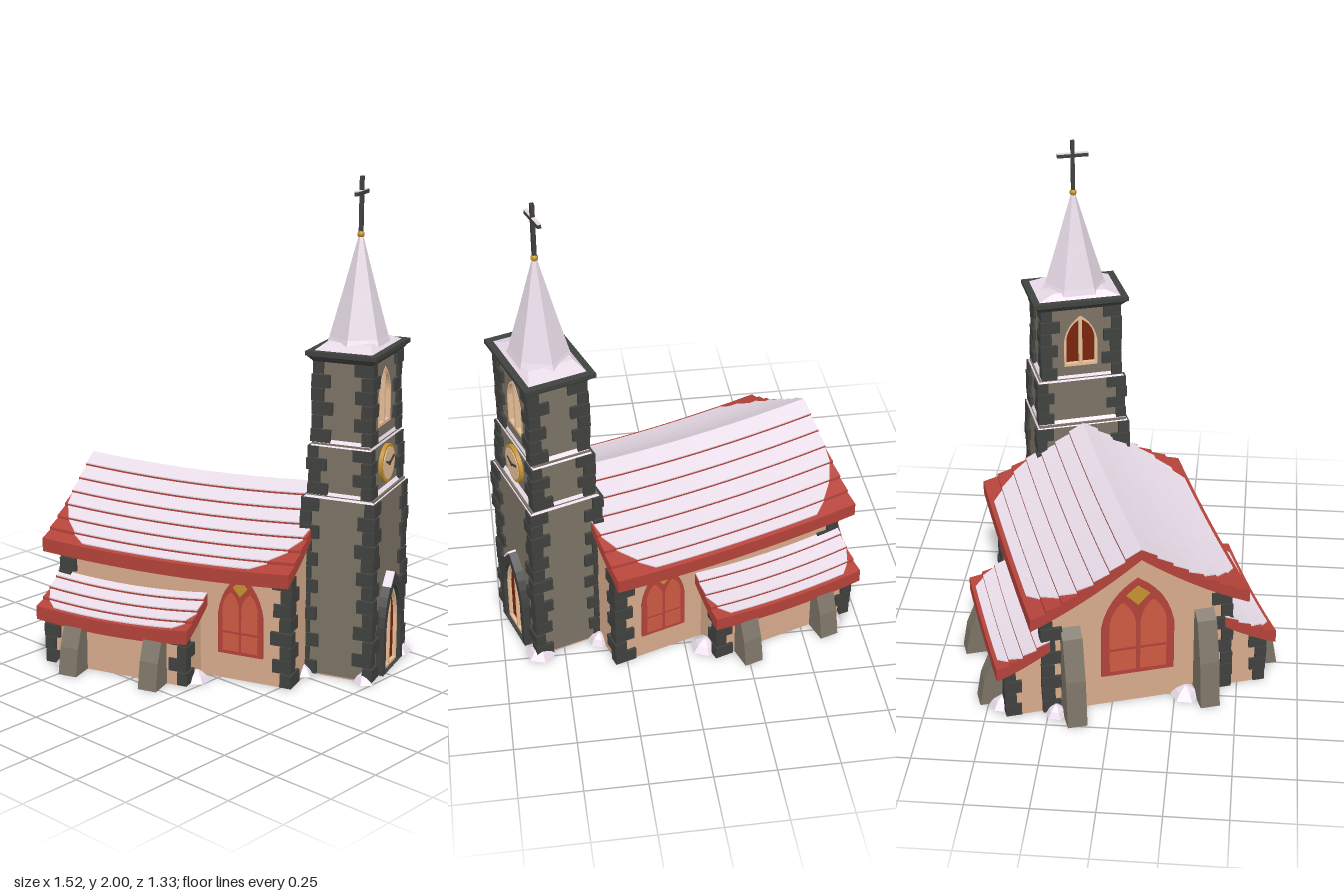
import * as THREE from 'three';

const COLOURS = {
  snow: 0xe6dae6, roofRed: 0xb5433a, plaster: 0xd8ab8c, stone: 0x7c7366, darkStone: 0x40423f,
  doorBrown: 0x7a250d, gold: 0xc49230, paneRed: 0xcd5a43, cream: 0xf0c59c,
};
const M = {};
for (const [name, color] of Object.entries(COLOURS)) {
  M[name] = new THREE.MeshStandardMaterial({ color });
  M[name].name = name;
}

function mesh(parent, name, geo, mat, x = 0, y = 0, z = 0) {
  const m = new THREE.Mesh(geo, M[mat]);
  m.name = name;
  m.position.set(x, y, z);
  parent.add(m);
  return m;
}
const box = (w, h, d) => new THREE.BoxGeometry(w, h, d);

// Closed solid through equal-sized rings of [x, y, z], flat shaded, always facing outwards
function loft(rings) {
  const tris = [], n = rings[0].length;
  for (let r = 0; r + 1 < rings.length; r++) {
    for (let i = 0; i < n; i++) {
      const j = (i + 1) % n, [a, b] = [rings[r], rings[r + 1]];
      tris.push([a[i], a[j], b[j]], [a[i], b[j], b[i]]);
    }
  }
  const first = rings[0], last = rings[rings.length - 1];
  for (let i = 1; i + 1 < n; i++) tris.push([first[0], first[i + 1], first[i]], [last[0], last[i], last[i + 1]]);
  const V = (p) => new THREE.Vector3(...p), origin = V(first[0]);
  let volume = 0;
  for (const [a, b, c] of tris) volume += V(a).sub(origin).dot(V(b).sub(origin).cross(V(c).sub(origin)));
  const flat = tris.flatMap((t) => (volume < 0 ? [t[0], t[2], t[1]] : t)).flat();
  const g = new THREE.BufferGeometry();
  g.setAttribute('position', new THREE.Float32BufferAttribute(flat, 3));
  g.computeVertexNormals();
  return g;
}
const rect = (a, b, y) => [[-a, y, -b], [a, y, -b], [a, y, b], [-a, y, b]];
const frustum = (a0, b0, y0, a1, b1, y1) => loft([rect(a0, b0, y0), rect(a1, b1, y1)]);

// Upright pointed arch outline
function arch(cx, hw, y0, y1, Type = THREE.Shape) {
  const s = new Type(), ys = y0 + Math.max((y1 - y0) * 0.5, y1 - y0 - hw * 1.9);
  s.moveTo(cx - hw, y0);
  s.lineTo(cx + hw, y0);
  s.lineTo(cx + hw, ys);
  s.quadraticCurveTo(cx + hw * 0.85, ys + (y1 - ys) * 0.65, cx, y1);
  s.quadraticCurveTo(cx - hw * 0.85, ys + (y1 - ys) * 0.65, cx - hw, ys);
  s.closePath();
  return s;
}
const polygon = (pts) => new THREE.Shape(pts.map((p) => new THREE.Vector2(...p)));
const plate = (shape, depth) => new THREE.ExtrudeGeometry(shape, { depth, bevelEnabled: false, curveSegments: 6 });

function placed(parent, name, x, y, z, turn) {
  const g = new THREE.Group();
  g.name = name;
  g.position.set(x, y, z);
  g.rotation.y = turn;
  parent.add(g);
  return g;
}

// Nave window: two lancets over two low panes, with a gold kite on top
function naveWindow(parent, x, y, z, turn, hw, H) {
  const g = placed(parent, 'naveWindow', x, y, z, turn);
  mesh(g, 'windowFrame', plate(arch(0, hw, 0, H), 0.009), 'roofRed');
  for (const s of [-1, 1]) {
    mesh(g, 'lancetPane', plate(arch(s * hw * 0.42, hw * 0.36, H * 0.29, H * 0.77), 0.003), 'paneRed', 0, 0, 0.009);
    mesh(g, 'lowPane', box(hw * 0.72, H * 0.21, 0.003), 'paneRed', s * hw * 0.42, H * 0.15, 0.0105);
  }
  const k = hw * 0.32;
  mesh(g, 'goldKite', plate(polygon([[0, H * 0.73], [k, H * 0.84], [0, H * 0.93], [-k, H * 0.84]]), 0.004), 'gold', 0, 0, 0.009);
}

// Two brown leaves set back in a cream frame, for the belfry and the door
function pairedLights(g, hw, H, gap, depth) {
  mesh(g, 'brownLeaves', plate(arch(0, hw * 0.95, 0, H * 0.97), 0.004), 'doorBrown');
  const half = new THREE.Path();
  half.moveTo(gap, 0.012);
  half.lineTo(hw * 0.86, 0.012);
  half.lineTo(hw * 0.86, H * 0.55);
  half.quadraticCurveTo(hw * 0.74, H * 0.8, gap, H * 0.92);
  half.closePath();
  const frame = arch(0, hw, 0, H);
  frame.holes.push(half, new THREE.Path(half.getPoints(6).map((p) => new THREE.Vector2(-p.x, p.y))));
  mesh(g, 'creamFrame', plate(frame, depth), 'cream');
}

// Alternating corner stones on the corners of a rectangle
function quoins(parent, x0, x1, zs, y0, y1, size = 0.08) {
  const n = Math.round((y1 - y0) / 0.056), h = (y1 - y0) / n;
  let seed = 7;
  const rnd = () => (seed = (seed * 16807) % 2147483647) / 2147483647;
  for (const [x, sx] of [[x0, -1], [x1, 1]]) for (const z of zs) {
    const sz = Math.sign(z);
    for (let i = 0; i < n; i++) {
      const long = size * (0.92 + rnd() * 0.25), short = size * (0.55 + rnd() * 0.15), out = 0.009 + rnd() * 0.008;
      const [w, d] = (i + (sx * sz > 0 ? 0 : 1)) % 2 ? [long, short] : [short, long];
      mesh(parent, 'cornerStone', box(w, h * 0.93, d), 'darkStone',
        x + sx * (out - w / 2), y0 + h * (i + 0.5), z + sz * (out - d / 2));
    }
  }
}

// Sagging roof slope of overlapping boards, each with its layer of snow
function roofSlope(parent, side, o) {
  const N = 10, span = o.u1 - o.u0;
  const sag = (u) => { const f = ((u - o.u0) / span) * 2 - 1; return -o.sag * (1 - f * f); };
  const at = (t) => [o.v0 + (o.v1 - o.v0) * t, o.y0 + (o.y1 - o.y0) * t - 0.07 * (o.y0 - o.y1) * 4 * t * (1 - t)];
  const strip = (pts) => loft(Array.from({ length: N + 1 }, (_, i) => pts.map(([v, y, inset]) => {
    const u = o.u0 + inset + (span - inset * 2) * (i / N);
    return [u, y + sag(u), side * v];
  })));
  const lift = 0.012, thick = 0.045;
  for (let r = 0; r < o.rows; r++) {
    const t0 = r / o.rows, t1 = (r + 1) / o.rows;
    const [va, ya] = at(t0), [vb, yb] = at(t1);
    mesh(parent, 'roofBoard', strip([[va, ya - thick, 0], [va, ya, 0], [vb, yb + lift, 0], [vb, yb - thick, 0]]), 'roofRed');
    const k = r === o.rows - 1 ? 0.72 : 1, vs = va + (vb - va) * k, ys = ya + (yb + lift - ya) * k;
    const inset = (t) => 0.002 + o.corner * Math.max(0, (t - 0.42) / 0.58) ** 2;
    const i0 = inset(t0), i1 = inset(t0 + (t1 - t0) * k);
    mesh(parent, 'roofSnow', strip([[va, ya, i0], [va, ya + 0.005, i0], [vs, ys + 0.005, i1], [vs, ys, i1]]), 'snow');
  }
}

// Sloping wall support, leaning out along +z
function buttress(parent, x, z, turn, h, depth) {
  const g = placed(parent, 'buttress', x, 0, z, turn), w = 0.04;
  const ring = (s) => [[0, 0], [depth, 0], [depth * 0.8, h * 0.5], [depth * 0.4, h * 0.93], [0, h]].map(([d, y]) => [s * w, y, d]);
  mesh(g, 'buttressStone', loft([ring(-1), ring(1)]), 'stone');
}

export function createModel() {
  const model = new THREE.Group();
  model.name = 'church';
  const c = placed(model, 'churchBody', -0.025, 0, -0.076, 0.323);
  const W = -0.55, E = 0.46, HV = 0.38, AW = -0.54, AE = 0.075, AV = 0.53, TX = 0.588;

  // Nave with gabled ends
  const gable = plate(polygon([[-HV, 0], [HV, 0], [HV, 0.475], [0, 0.715], [-HV, 0.475]]), E - W);
  gable.rotateY(Math.PI / 2);
  mesh(c, 'naveWalls', gable, 'plaster', W, 0, 0);
  quoins(c, W, E, [-HV, HV], 0.004, 0.47);
  naveWindow(c, W, 0.14, 0, -Math.PI / 2, 0.15, 0.45);

  // Both long sides: roofs, aisle, window, supports
  for (const s of [-1, 1]) {
    const turn = s > 0 ? 0 : Math.PI;
    roofSlope(c, s, { u0: -0.613, u1: 0.48, v0: 0, v1: 0.445, y0: 0.755, y1: 0.49, rows: 7, sag: 0.022, corner: 0.2 });
    roofSlope(c, s, { u0: -0.572, u1: 0.105, v0: 0.36, v1: 0.577, y0: 0.355, y1: 0.245, rows: 4, sag: 0.02, corner: 0.09 });
    const end = (x) => [[x, 0, s * HV], [x, 0, s * AV], [x, 0.24, s * AV], [x, 0.315, s * HV]];
    mesh(c, 'aisleWalls', loft([end(AW), end(AE)]), 'plaster');
    quoins(c, AW, AE, [s * AV], 0.004, 0.23, 0.07);
    naveWindow(c, 0.253, 0.11, s * HV, turn, 0.097, 0.34);
    for (const x of [-0.405, -0.045]) buttress(c, x, s * AV, turn, 0.225, 0.1);
    buttress(c, W, s * 0.275, -Math.PI / 2, 0.4, 0.125);
  }

  // Tower in three stages with snowy ledges
  const t = placed(c, 'tower', TX, 0, 0, 0);
  const stages = [[0.143, 0.194, 0.006, 0.76], [0.121, 0.183, 0.76, 0.97], [0.113, 0.163, 0.97, 1.31]];
  mesh(t, 'towerFloor', box(0.286, 0.006, 0.388), 'plaster', 0, 0.003, 0);
  stages.forEach(([a, b, y0, y1], i) => {
    const halfWidth = i < 2 ? a : 0.09;
    mesh(t, 'towerStage', box(halfWidth * 2, y1 - y0, b * 2), 'stone', 0, (y0 + y1) / 2, 0);
    quoins(t, -a, a, [-b, b], y0, y1 - 0.01, 0.075);
    if (i < 2) {
      const [a2, b2] = stages[i + 1];
      mesh(t, 'snowLedge', frustum(a + 0.004, b + 0.006, y1 - 0.012, a2, b2, y1 + 0.012), 'snow');
    }
  });
  mesh(t, 'corniceFlare', frustum(0.122, 0.175, 1.295, 0.143, 0.203, 1.322), 'darkStone');
  mesh(t, 'corniceSlab', box(0.292, 0.018, 0.41), 'darkStone', 0, 1.329, 0);

  // Spire, gold ball and cross
  mesh(t, 'spireSkirt', frustum(0.12, 0.178, 1.337, 0.092, 0.112, 1.362), 'snow');
  const hex = (a, b, y) => Array.from({ length: 6 }, (_, i) => [a * Math.sin(i * Math.PI / 3), y, b * Math.cos(i * Math.PI / 3)]);
  mesh(t, 'spire', loft([hex(0.125, 0.142, 1.345), hex(0.115, 0.128, 1.375), hex(0.064, 0.071, 1.56), hex(0.009, 0.009, 1.77)]), 'snow');
  mesh(t, 'spireBall', new THREE.SphereGeometry(0.015, 10, 8), 'gold', 0, 1.775, 0);
  mesh(t, 'crossPost', box(0.015, 0.22, 0.015), 'darkStone', 0, 1.89, 0);
  mesh(t, 'crossBar', box(0.015, 0.015, 0.13), 'darkStone', 0, 1.936, 0);
  mesh(t, 'crossSnow', box(0.015, 0.003, 0.13), 'snow', 0, 1.945, 0);

  // Belfry windows set into the outer and inner faces
  for (const s of [-1, 1]) {
    const belfry = placed(t, 'belfryWindow', s * 0.09, 1.025, 0, s * Math.PI / 2);
    const wall = polygon([[-0.163, -0.055], [0.163, -0.055], [0.163, 0.285], [-0.163, 0.285]]);
    wall.holes.push(arch(0, 0.073, 0, 0.235, THREE.Path));
    mesh(belfry, 'belfryWall', plate(wall, 0.023), 'stone');
    pairedLights(belfry, 0.073, 0.235, 0.007, 0.025);
  }

  // Clock
  const clock = placed(t, 'clock', 0.121, 0.868, 0, Math.PI / 2);
  const disc = (r, d) => new THREE.CylinderGeometry(r, r, d, 24).rotateX(Math.PI / 2);
  mesh(clock, 'clockRim', disc(0.078, 0.016), 'gold', 0, 0, 0.008);
  mesh(clock, 'clockFace', disc(0.066, 0.004), 'cream', 0, 0, 0.017);
  mesh(clock, 'clockHub', disc(0.009, 0.004), 'darkStone', 0, 0, 0.021);
  for (const [len, ang] of [[0.056, 0.4], [0.042, 2.8]]) {
    const hand = mesh(clock, 'clockHand', box(len, 0.009, 0.004), 'darkStone', Math.cos(ang) * len / 2, Math.sin(ang) * len / 2, 0.021);
    hand.rotation.z = ang;
  }

  // Door under a dark stone arch
  const door = placed(t, 'door', 0.143, 0.006, 0, Math.PI / 2);
  const surround = arch(0, 0.118, 0, 0.41);
  surround.holes.push(arch(0, 0.09, 0.001, 0.36, THREE.Path));
  mesh(door, 'doorArch', plate(surround, 0.034), 'darkStone');
  pairedLights(door, 0.091, 0.362, 0.005, 0.018);
  const cap = mesh(door, 'archSnow', box(0.07, 0.008, 0.036), 'snow', -0.032, 0.385, 0.018);
  cap.rotation.z = 0.86;

  // Low snow drifts against the walls
  const drifts = [[0.71, 0.19], [0.45, 0.21], [0.72, -0.18], [0.47, -0.22], [0.09, 0.45], [0.09, -0.45],
    [-0.46, 0.54], [-0.46, -0.54], [-0.57, 0.2], [-0.57, -0.34]];
  drifts.forEach(([x, z], i) => {
    const r = 0.048 + (i % 3) * 0.008, ring = (k, y) => hex(r * k, r * k, y);
    mesh(c, 'snowDrift', loft([ring(1, 0.001), ring(0.65, 0.026), ring(0.15, 0.045)]), 'snow', x, 0, z).rotation.y = i;
  });
  return model;
}
